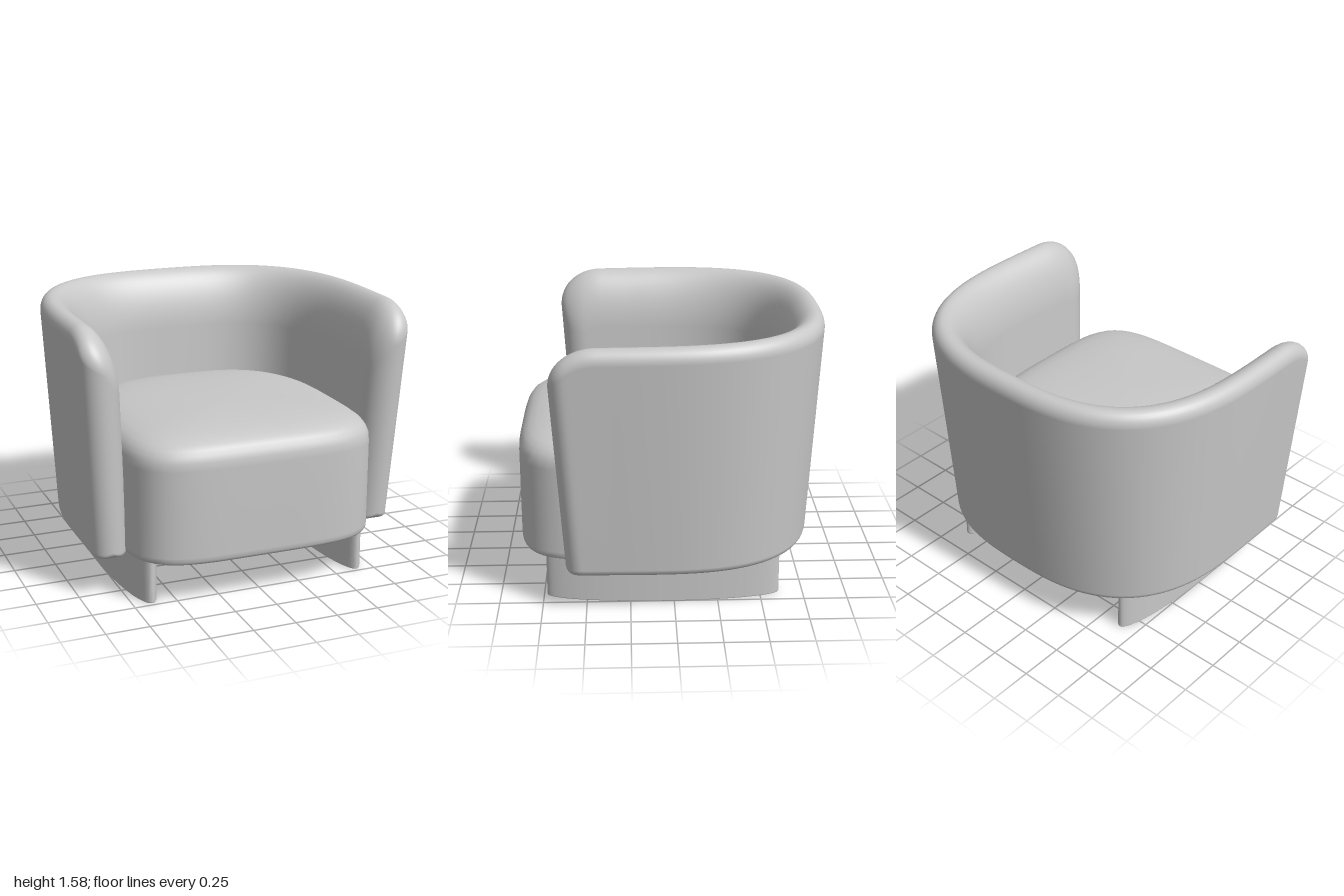
import * as THREE from 'three';
import { mergeVertices } from 'three/addons/utils/BufferGeometryUtils.js';

// Smooth skin over a list of closed rings (arrays of Vector3 of equal length)
function loft(rings) {
  const n = rings[0].length;
  const index = [];
  for (let j = 0; j < rings.length - 1; j++) {
    for (let i = 0; i < n; i++) {
      const a = j * n + i, b = j * n + (i + 1) % n;
      index.push(a, a + n, b, b, a + n, b + n);
    }
  }
  let geo = new THREE.BufferGeometry().setFromPoints(rings.flat());
  geo.setIndex(index);
  geo = mergeVertices(geo, 1e-4);
  geo.computeVertexNormals();
  return geo;
}

// Quarter-circle easing: 0 at the tip, 1 once d reaches r
const round = (d, r) => (d >= r ? 1 : Math.sqrt(Math.max(0, 1 - (1 - d / r) ** 2)));
const spow = (v, p) => Math.sign(v) * Math.abs(v) ** p;

// Wraparound back and arms: a padded slab swept along a squarish U, narrowing downwards
function shellGeometry() {
  const pts = [], power = 2 / 2.85;
  for (const z of [0.69, 0.53, 0.37]) pts.push(new THREE.Vector3(0.9 - (z - 0.2) * 0.015, 0, z));
  for (let i = 0; i <= 28; i++) {
    const t = (Math.PI * i) / 28;
    pts.push(new THREE.Vector3(0.9 * spow(Math.cos(t), power), 0, 0.2 - 0.99 * Math.max(0, Math.sin(t)) ** power));
  }
  for (let i = 2; i >= 0; i--) pts.push(new THREE.Vector3(-pts[i].x, 0, pts[i].z));
  const path = new THREE.CatmullRomCurve3(pts);
  path.arcLengthDivisions = 1000;
  const length = path.getLength();

  // stations crowd together at the rounded arm fronts
  const tip = 0.3, stations = [];
  for (let i = 0; i < 20; i++) stations.push(tip * (1 - Math.cos((Math.PI / 2) * i / 20)));
  for (let i = 0; i <= 80; i++) stations.push(tip + (length - 2 * tip) * i / 80);
  for (let i = 19; i >= 0; i--) stations.push(length - stations[i]);

  const rings = stations.map((s) => {
    const u = s / length, d = Math.min(s, length - s);
    const p = path.getPointAt(u), tan = path.getTangentAt(u);
    const out = new THREE.Vector3(-tan.z, 0, tan.x);
    const eo = round(d, 0.1), ei = round(d, 0.15);
    const outer = 0.1 * eo, inner = -0.13 * ei, peak = 0.03 * eo;
    const top = 1.58 - 0.012 * (p.z + 0.89) - 0.23 * (1 - round(d, 0.27));
    const bottom = 0.24 + 0.045 * (1 - round(d, 0.06));
    const ring = [];
    const add = (w, y) => {
      const drop = 1.5 - y, x = p.x + out.x * w, z = p.z + out.z * w;
      ring.push(new THREE.Vector3(x * (1 - 0.055 * drop), y, z - (0.0785 * z + 0.0098) * drop));
    };
    const ro = 0.04 * eo, ri = 0.04 * ei; // bottom edge radii
    for (let i = 0; i <= 4; i++) {
      const t = (Math.PI / 2) * i / 4;
      add(outer - ro + ro * Math.sin(t), bottom + ro * (1 - Math.cos(t)));
    }
    // tight outer roll
    for (let i = 0; i <= 8; i++) {
      const t = (Math.PI / 2) * i / 8;
      add(peak + (outer - peak) * Math.cos(t), top - 0.085 * eo * (1 - Math.sin(t)));
    }
    // long soft inner roll
    for (let i = 1; i <= 14; i++) {
      const t = (Math.PI / 2) * i / 14;
      add(peak + (inner - peak) * Math.sin(t), top - 0.35 * ei * (1 - Math.cos(t)));
    }
    for (let i = 0; i <= 4; i++) {
      const t = (Math.PI / 2) * i / 4;
      add(inner + ri - ri * Math.cos(t), bottom + ri * (1 - Math.sin(t)));
    }
    return ring;
  });
  return loft(rings);
}

// Deep seat cushion: squarish plan with a gently crowned top
function seatGeometry() {
  const profile = [
    [0, 0.25], [0.6, 0.25], [0.94, 0.25], [0.965, 0.252], [0.985, 0.26], [0.997, 0.275], [1, 0.3],
    [1, 0.55], [1, 0.8], [0.995, 0.845], [0.978, 0.88], [0.95, 0.908], [0.91, 0.93],
    [0.85, 0.948], [0.76, 0.963], [0.64, 0.974], [0.5, 0.983], [0.3, 0.99], [0.12, 0.993], [0, 0.993],
  ];
  const sides = 96;
  const rings = profile.map(([k, y]) => Array.from({ length: sides }, (_, i) => {
    const t = (2 * Math.PI * i) / sides, c = Math.cos(t), s = Math.sin(t);
    const n = s > 0 ? 4.6 : 3;
    const m = (Math.abs(c) ** n + Math.abs(s) ** n) ** (-1 / n);
    return new THREE.Vector3(0.75 * k * c * m, y, 0.2 + (s > 0 ? 0.692 : 0.87) * k * s * m);
  }));
  return loft(rings);
}

// Runner foot: a long upright elliptical plank
function footGeometry() {
  const shape = new THREE.Shape();
  shape.absellipse(0, -0.06, 0.113, 0.672, 0, 2 * Math.PI, false, 0);
  const geo = new THREE.ExtrudeGeometry(shape, {
    depth: 0.25, curveSegments: 64, bevelThickness: 0.006, bevelSize: 0.006, bevelOffset: -0.006, bevelSegments: 2,
  });
  geo.rotateX(-Math.PI / 2);
  geo.translate(0, 0.006, 0);
  return geo;
}

export function createModel() {
  const fabric = new THREE.MeshStandardMaterial({ color: 0xc8c8c8 });
  fabric.name = 'light grey';

  const model = new THREE.Group();
  model.name = 'tubArmchair';
  const add = (name, geometry) => {
    const mesh = new THREE.Mesh(geometry, fabric);
    mesh.name = name;
    model.add(mesh);
    return mesh;
  };

  add('backAndArms', shellGeometry());
  add('seatCushion', seatGeometry());
  const foot = footGeometry();
  add('leftFoot', foot).position.x = 0.643;
  add('rightFoot', foot).position.x = -0.643;
  return model;
}
